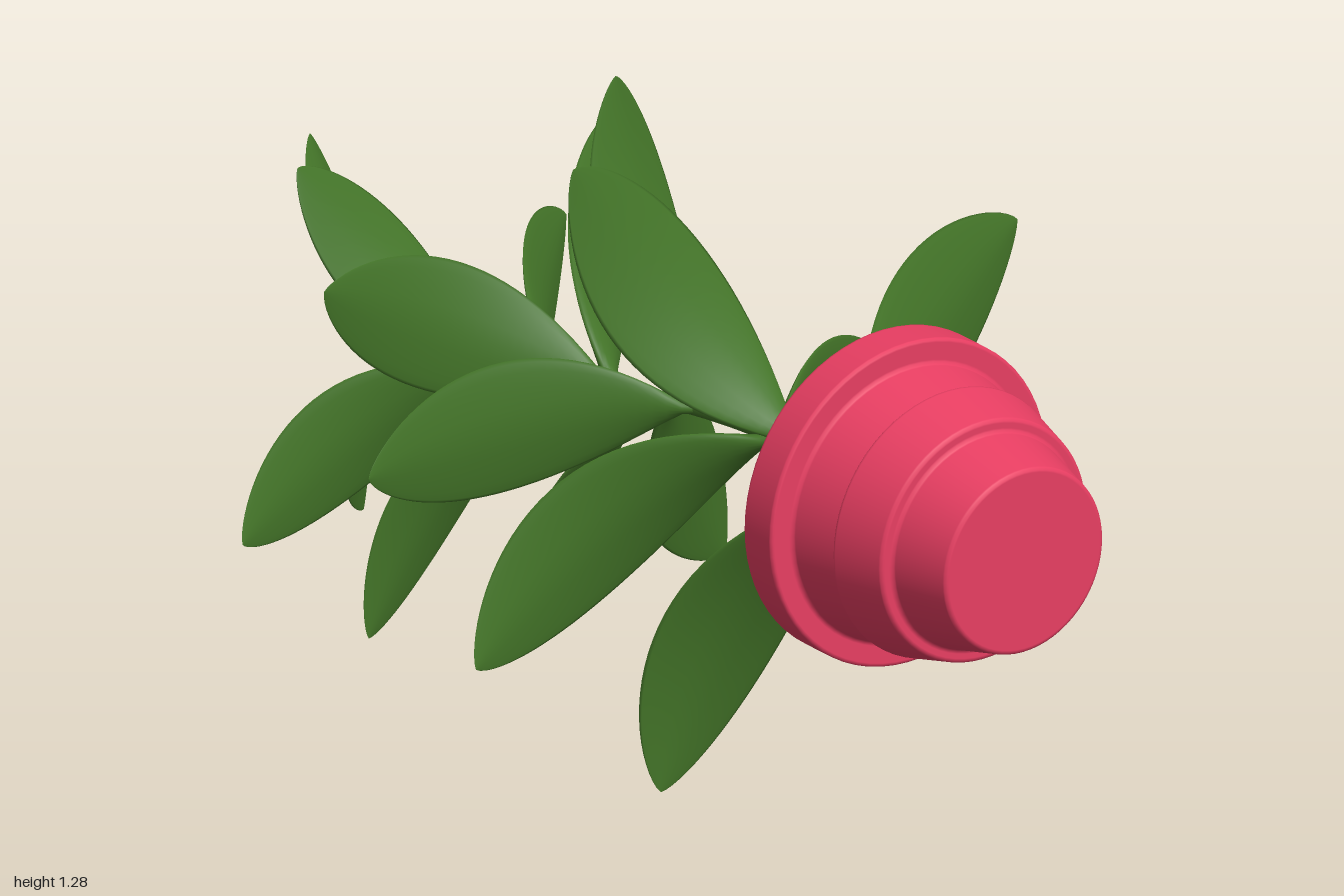
import * as THREE from 'three';

const V = (x, y, z) => new THREE.Vector3(x, y, z);
const green = new THREE.MeshStandardMaterial({ color: 0x437428 });
const red = new THREE.MeshStandardMaterial({ color: 0xe83e62 });
const brown = new THREE.MeshStandardMaterial({ color: 0x5e3216 });

// Centre line of the stem, from the soil to the growing tip
const stemPoints = [
  V(0.03, 0.68, 0.62), V(0.025, 0.68, 0.45), V(0.02, 0.685, 0.2), V(-0.01, 0.68, 0),
  V(-0.04, 0.66, -0.17), V(-0.1, 0.64, -0.38), V(-0.17, 0.625, -0.56), V(-0.22, 0.61, -0.78),
];

function stemAt(z) {
  let i = 1;
  while (i < stemPoints.length - 1 && stemPoints[i].z > z) i++;
  const a = stemPoints[i - 1], b = stemPoints[i];
  return a.clone().lerp(b, (z - a.z) / (b.z - a.z));
}

// Leaves: tip x, y, z, z where it leaves the stem, z of the bend, roll about the midrib
const leaves = [
  [-0.25, 0.0, 0.2, 0.5, 0.2, 0],
  [0.68, 0.94, 0.11, 0.5, 0.26, 0],
  [-0.35, 1.28, 0.05, 0.3, 0.08, 0.25],
  [-0.57, 0.28, 0.03, 0.22, -0.06, 0],
  [0.6, 0.5, -0.16, 0.22, 0.0, 0],
  [0.0, 1.28, -0.28, 0.06, -0.2, 0.35],
  [-0.68, 0.64, -0.17, 0.0, -0.23, 0],
  [0.31, 0.18, -0.34, -0.08, -0.24, -0.25],
  [-0.08, 0.06, -0.42, -0.12, -0.36, -0.35],
  [-0.6, 0.93, -0.42, -0.2, -0.44, 0],
  [0.22, 1.05, -0.58, -0.22, -0.39, 0.2],
  [-0.44, 0.14, -0.49, -0.36, -0.55, -0.25],
  [-0.67, 0.36, -0.59, -0.46, -0.69, 0],
  [-0.44, 1.05, -0.72, -0.5, -0.63, 0.4],
  [0.27, 0.75, -0.8, -0.36, -0.6, 0],
  [0.14, 0.36, -0.92, -0.55, -0.81, -0.4],
  [-0.2, 0.97, -1.0, -0.7, -0.87, 0.6],
  [-0.1, 0.17, -0.96, -0.68, -0.88, -0.6],
];

// One leaf: lens-shaped sections swept along an arching midrib
function leafGeometry([x, y, z, baseZ, bendZ, roll]) {
  const base = stemAt(baseZ), tip = V(x, y, z);
  const bend = base.clone().lerp(tip, 0.32).setZ(bendZ);
  const rib = new THREE.QuadraticBezierCurve3(base, bend, tip);
  const halfWidth = 0.192 * base.distanceTo(tip);
  const out = V(x - base.x, y - base.y, 0).normalize();
  const across = out.cross(V(0, 0, -1));
  const rows = 30, sides = 20, pos = [], index = [];
  for (let i = 0; i <= rows; i++) {
    const t = 1 - Math.pow(1 - i / rows, 1.5), p = rib.getPoint(t), dir = rib.getTangent(t);
    const side = across.clone().applyAxisAngle(dir, roll);
    const up = side.clone().cross(dir).normalize();
    const s = Math.max(0, (t - 0.04) / 0.96);
    const blade = Math.pow(s, 1.1) * Math.pow(1 - s, 0.75) / 0.287;
    const w = halfWidth * blade + 0.011 * (1 - t);
    const thick = 0.011 * (1 - t) + 0.004 * Math.sqrt(1 - t);
    for (let j = 0; j < sides; j++) {
      const a = (j / sides) * Math.PI * 2, c = Math.cos(a);
      const fold = 0.12 * halfWidth * blade * Math.pow(Math.abs(c), 1.4);
      const q = p.clone().addScaledVector(side, c * w)
        .addScaledVector(up, Math.sin(a) * thick + fold);
      pos.push(q.x, q.y, q.z);
      if (i < rows) {
        const k = i * sides + j, n = i * sides + (j + 1) % sides;
        index.push(k, k + sides, n, n, k + sides, n + sides);
      }
    }
  }
  const g = new THREE.BufferGeometry();
  g.setAttribute('position', new THREE.Float32BufferAttribute(pos, 3));
  g.setIndex(index);
  g.computeVertexNormals();
  return g;
}

// Stem tube that thins toward its tip
function stemGeometry() {
  const curve = new THREE.CatmullRomCurve3(stemPoints);
  const rings = 60, sides = 12;
  const g = new THREE.TubeGeometry(curve, rings, 0.024, sides);
  const p = g.attributes.position, v = V(0, 0, 0);
  for (let i = 0; i < p.count; i++) {
    const t = Math.floor(i / (sides + 1)) / rings, c = curve.getPointAt(t);
    v.fromBufferAttribute(p, i).sub(c).multiplyScalar(1 - 0.65 * t).add(c);
    p.setXYZ(i, v.x, v.y, v.z);
  }
  return g;
}

// Small bevels at the corners of a profile keep its steps crisp
function bevel(corners, r) {
  const pts = corners.map(([x, y]) => new THREE.Vector2(x, y));
  return pts.flatMap((c, i) => {
    if (i === 0 || i === pts.length - 1) return [c];
    const toward = (o, d) => c.clone().lerp(o, d / c.distanceTo(o));
    const a = pts[i - 1], b = pts[i + 1];
    return [toward(a, 2 * r), toward(a, r), toward(b, r), toward(b, 2 * r)];
  });
}

export function createModel() {
  const plant = new THREE.Group();
  plant.name = 'pottedPlant';
  const add = (name, geometry, material, parent = plant) => {
    const m = new THREE.Mesh(geometry, material);
    m.name = name;
    parent.add(m);
    return m;
  };

  // Stepped pot lying on its side, opening toward the back
  const profile = bevel([
    [0, 0], [0.19, 0], [0.222, 0.13], [0.248, 0.13], [0.278, 0.25], [0.255, 0.25],
    [0.284, 0.37], [0.335, 0.37], [0.335, 0.46], [0.275, 0.46], [0.265, 0.38],
  ], 0.004);
  const pot = add('pot', new THREE.LatheGeometry(profile, 64).rotateX(-Math.PI / 2), red);
  pot.position.set(0.03, 0.68, 1);

  const soil = add('soil', new THREE.CircleGeometry(0.272, 64).rotateY(Math.PI), brown);
  soil.position.set(0.03, 0.68, 0.58);

  add('stem', stemGeometry(), green);

  const foliage = new THREE.Group();
  foliage.name = 'foliage';
  plant.add(foliage);
  leaves.forEach((leaf, i) => add('leaf' + (i + 1), leafGeometry(leaf), green, foliage));

  return plant;
}
